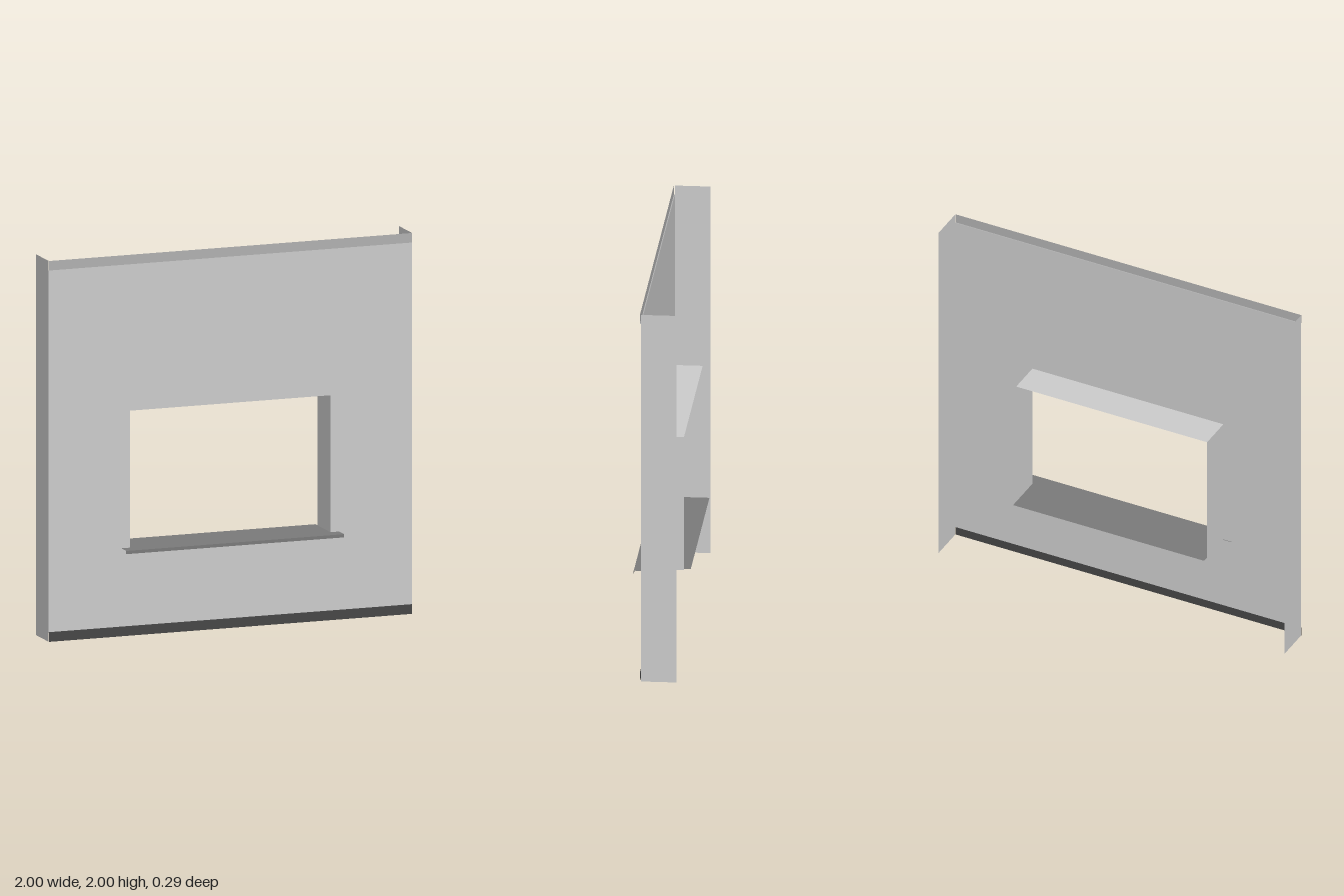
import * as THREE from 'three';

const PANEL_Z = 0.073, BACK_Z = -0.11;   // face sheet and rear edge of the returns
const OPEN_X = 0.552, OPEN_TOP = 1.18, OPEN_BOTTOM = 0.455;
const BAND = 0.05;                       // height of the top and bottom bands

const sheetMaterial = (color) => new THREE.MeshStandardMaterial({ color, side: THREE.DoubleSide });

export function createModel() {
  const model = new THREE.Group();
  const grey = sheetMaterial(0xcccccc);
  const sillGrey = sheetMaterial(0x7a7a7a);

  const add = (name, geometry, material, x = 0, y = 0, z = 0) => {
    const mesh = new THREE.Mesh(geometry, material);
    mesh.name = name;
    mesh.position.set(x, y, z);
    model.add(mesh);
    return mesh;
  };
  const polygon = (points) => points.map(([x, y]) => new THREE.Vector2(x, y));

  // Face sheet with the window opening
  const face = new THREE.Shape(polygon([[-1, BAND], [1, BAND], [1, 2 - BAND], [-1, 2 - BAND]]));
  face.holes.push(new THREE.Path(polygon([
    [-OPEN_X, OPEN_BOTTOM], [-OPEN_X, OPEN_TOP], [OPEN_X, OPEN_TOP], [OPEN_X, OPEN_BOTTOM],
  ])));
  add('wallPanel', new THREE.ShapeGeometry(face), grey, 0, 0, PANEL_Z);

  // Bands along the top and bottom edges, each with a small ledge to the panel
  for (const [name, y, ledgeY, color] of [
    ['topBand', 2 - BAND / 2, 2 - BAND, 0xb0b0b0],
    ['bottomBand', BAND / 2, BAND, 0x454545],
  ]) {
    const material = sheetMaterial(color);
    add(name, new THREE.PlaneGeometry(2, BAND), material, 0, y, PANEL_Z + 0.005);
    add(name + 'Ledge', new THREE.PlaneGeometry(2, 0.005).rotateX(-Math.PI / 2), material,
      0, ledgeY, PANEL_Z + 0.0025);
  }

  // Side returns of the wall and of the opening
  const depth = PANEL_Z - BACK_Z, midZ = (PANEL_Z + BACK_Z) / 2;
  const openHeight = OPEN_TOP - OPEN_BOTTOM;
  for (const [side, s] of [['left', 1], ['right', -1]]) {
    add(side + 'Return', new THREE.PlaneGeometry(depth, 2).rotateY(s * Math.PI / 2), grey,
      s, 1, midZ);
    add(side + 'Jamb', new THREE.PlaneGeometry(depth, openHeight).rotateY(-s * Math.PI / 2), grey,
      s * OPEN_X, (OPEN_TOP + OPEN_BOTTOM) / 2, midZ);
  }

  // Top and bottom of the opening
  for (const [name, y] of [['lintel', OPEN_TOP], ['openingBase', OPEN_BOTTOM]]) {
    add(name, new THREE.PlaneGeometry(2 * OPEN_X, depth).rotateX(-Math.PI / 2), grey, 0, y, midZ);
  }

  // Sill sheet: wide nose in front, narrow through the opening
  const sill = new THREE.Shape(polygon([
    [-0.6, -0.145], [0.6, -0.145], [0.6, -0.069], [OPEN_X, -0.069],
    [OPEN_X, 0.145], [-OPEN_X, 0.145], [-OPEN_X, -0.069], [-0.6, -0.069],
  ]));
  add('sill', new THREE.ShapeGeometry(sill).rotateX(-Math.PI / 2), sillGrey, 0, 0.461, 0);
  add('sillLip', new THREE.PlaneGeometry(1.2, 0.017), sillGrey, 0, 0.4525, 0.145);

  return model;
}
